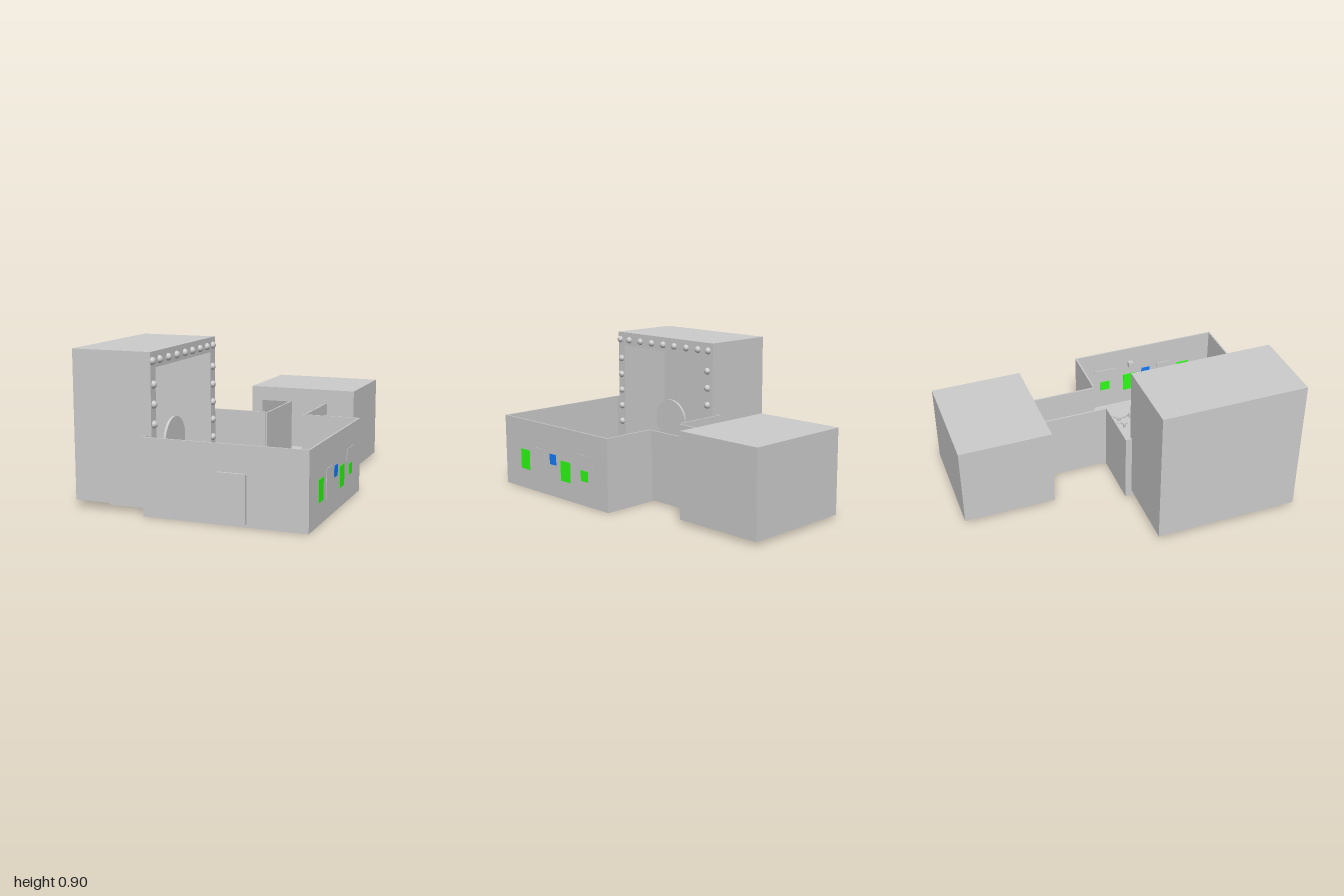
import * as THREE from 'three';

const material = (color = 0xcccccc) => new THREE.MeshStandardMaterial({ color });
const grey = material();

function add(parent, name, geometry, mat = grey) {
  const mesh = new THREE.Mesh(geometry, mat);
  mesh.name = name;
  parent.add(mesh);
  return mesh;
}

// Box given by its limits on each axis
function box(parent, name, x0, x1, y0, y1, z0, z1, mat = grey) {
  const mesh = add(parent, name, new THREE.BoxGeometry(x1 - x0, y1 - y0, z1 - z0), mat);
  mesh.position.set((x0 + x1) / 2, (y0 + y1) / 2, (z0 + z1) / 2);
  return mesh;
}

function cylinder(parent, name, radius, y0, y1, x, z, sides = 24) {
  const mesh = add(parent, name, new THREE.CylinderGeometry(radius, radius, y1 - y0, sides));
  mesh.position.set(x, (y0 + y1) / 2, z);
  return mesh;
}

// Thick rectangular frame with a rectangular opening: limits are [u0, u1, v0, v1]
function frameGeometry(outer, inner, depth) {
  const corners = ([u0, u1, v0, v1]) =>
    [[u0, v0], [u1, v0], [u1, v1], [u0, v1]].map(([u, v]) => new THREE.Vector2(u, v));
  const shape = new THREE.Shape(corners(outer));
  shape.holes.push(new THREE.Path(corners(inner).reverse()));
  return new THREE.ExtrudeGeometry(shape, { depth, bevelEnabled: false });
}

function group(parent, name) {
  const g = new THREE.Group();
  g.name = name;
  parent.add(g);
  return g;
}

function buildHall(root) {
  const hall = group(root, 'hall');
  const t = 0.01, h = 0.443;
  box(hall, 'hallFloor', -0.25, 0.7, 0, 0.012, 0, 0.985);
  box(hall, 'frontWall', -0.25, 0.7, 0, h, 0.985 - t, 0.985);
  box(hall, 'sideWall', 0.7 - t, 0.7, 0, h, 0, 0.985);
  // Back wall leaves a gap for the corridor
  box(hall, 'backWallWide', -0.25, 0.1, 0, h, 0, t);
  box(hall, 'backWallNarrow', 0.35, 0.7, 0, h, 0, t);
  // Stage side wall leaves a gap for the stage opening
  box(hall, 'stageWallBack', -0.25, -0.24, 0, h, 0, 0.1);
  box(hall, 'stageWallFront', -0.25, -0.24, 0, h, 0.88, 0.985);
  box(hall, 'frontDoor', 0.19, 0.355, 0.015, 0.29, 0.97, 1);
}

function buildCorridor(root) {
  const corridor = group(root, 'corridor');
  box(corridor, 'corridorFloor', 0.1, 0.35, 0.008, 0.02, -0.47, 0.005);
  for (const x of [0.1, 0.34]) {
    box(corridor, 'corridorWall', x, x + 0.01, 0.01, 0.437, -0.47, 0.005);
  }
}

function buildBackRoom(root) {
  const room = group(root, 'backRoom');
  const shell = add(room, 'roomShell',
    frameGeometry([-0.15, 0.54, 0.02, 0.53], [-0.08, 0.48, 0.035, 0.44], 0.5));
  shell.position.z = -0.93;
  box(room, 'roomBack', -0.15, 0.54, 0.02, 0.53, -1, -0.93);
}

function buildStage(root) {
  const stage = group(root, 'stage');
  const shell = add(stage, 'stageShell',
    frameGeometry([-0.93, -0.04, 0.04, 0.9], [-0.87, -0.11, 0.11, 0.81], 0.375));
  shell.rotation.y = Math.PI / 2;
  shell.position.x = -0.595;
  box(stage, 'stageBack', -0.7, -0.595, 0.04, 0.9, 0.04, 0.93);
  box(stage, 'stagePlatform', -0.52, -0.1, 0.012, 0.14, 0.1, 0.87);

  // Steps at both ends of the platform
  for (const [z0, z1] of [[0.02, 0.1], [0.87, 0.95]]) {
    for (let i = 0; i < 4; i++) {
      const x1 = -0.165 + i * 0.022;
      box(stage, 'step', i ? x1 - 0.022 : -0.24, x1, 0.01, 0.14 - i * 0.032, z0, z1);
    }
  }

  // Bulbs around the opening
  const bulbGeometry = new THREE.SphereGeometry(0.022, 16, 12);
  const bulb = (y, z) => add(stage, 'bulb', bulbGeometry).position.set(-0.22, y, z);
  for (const z of [0.91, 0.82, 0.71, 0.6, 0.49, 0.385, 0.275, 0.17, 0.08]) bulb(0.85, z);
  for (const y of [0.72, 0.61, 0.5, 0.39, 0.28]) {
    bulb(y, 0.9);
    bulb(y, 0.085);
  }

  // Upright disc on a small splayed stand
  const disc = cylinder(stage, 'disc', 0.135, 0.33, 0.345, -0.29, 0.49, 40);
  disc.rotation.z = Math.PI / 2;
  for (const [dx, dz] of [[0.05, 0], [-0.03, 0.05], [-0.03, -0.05]]) {
    const path = new THREE.LineCurve3(
      new THREE.Vector3(-0.29, 0.22, 0.49), new THREE.Vector3(-0.29 + dx, 0.135, 0.49 + dz));
    add(stage, 'discLeg', new THREE.TubeGeometry(path, 1, 0.009, 8));
  }
}

function buildTables(root) {
  // x, z, turn of the stools
  const places = [
    [0.115, 0.225, -0.12], [0.49, 0.235, 0.1], [0.3, 0.445, 0.08], [0.135, 0.705, 0], [0.525, 0.68, 0.05],
  ];
  for (const [x, z, turn] of places) {
    const table = group(root, 'tableWithStools');
    table.position.set(x, 0, z);
    table.rotation.y = turn;
    cylinder(table, 'tableTop', 0.07, 0.078, 0.09, 0, 0, 32);
    cylinder(table, 'tablePost', 0.014, 0.01, 0.08, 0, 0, 12);
    cylinder(table, 'tableFoot', 0.035, 0.01, 0.018, 0, 0);
    for (let i = 0; i < 4; i++) {
      const a = i * Math.PI / 2;
      const sx = Math.cos(a) * 0.083, sz = Math.sin(a) * 0.083;
      cylinder(table, 'stoolSeat', 0.022, 0.048, 0.057, sx, sz, 16);
      cylinder(table, 'stoolPost', 0.008, 0.01, 0.05, sx, sz, 10);
    }
  }
}

function buildWallPanels(root) {
  const panels = group(root, 'wallPanels');
  const green = material(0x2cff14), blue = material(0x147cff), pale = material(0xdcdcdc);
  const list = [
    [green, 0.74, 0.825, 0.125, 0.25], [pale, 0.585, 0.685, 0.11, 0.28],
    [blue, 0.475, 0.535, 0.2, 0.265], [green, 0.34, 0.43, 0.115, 0.24],
    [pale, 0.13, 0.285, 0.24, 0.31], [green, 0.175, 0.24, 0.15, 0.215],
  ];
  for (const [mat, z0, z1, y0, y1] of list) {
    box(panels, 'wallPanel', 0.685, 0.703, y0, y1, z0, z1, mat);
  }
  // Small box on a wall bracket
  box(panels, 'wallBox', 0.642, 0.675, 0.32, 0.355, 0.365, 0.4);
  box(panels, 'wallBoxBracket', 0.67, 0.695, 0.33, 0.34, 0.378, 0.388);
}

export function createModel() {
  const root = new THREE.Group();
  root.name = 'theatreHall';
  buildHall(root);
  buildCorridor(root);
  buildBackRoom(root);
  buildStage(root);
  buildTables(root);
  buildWallPanels(root);
  return root;
}
